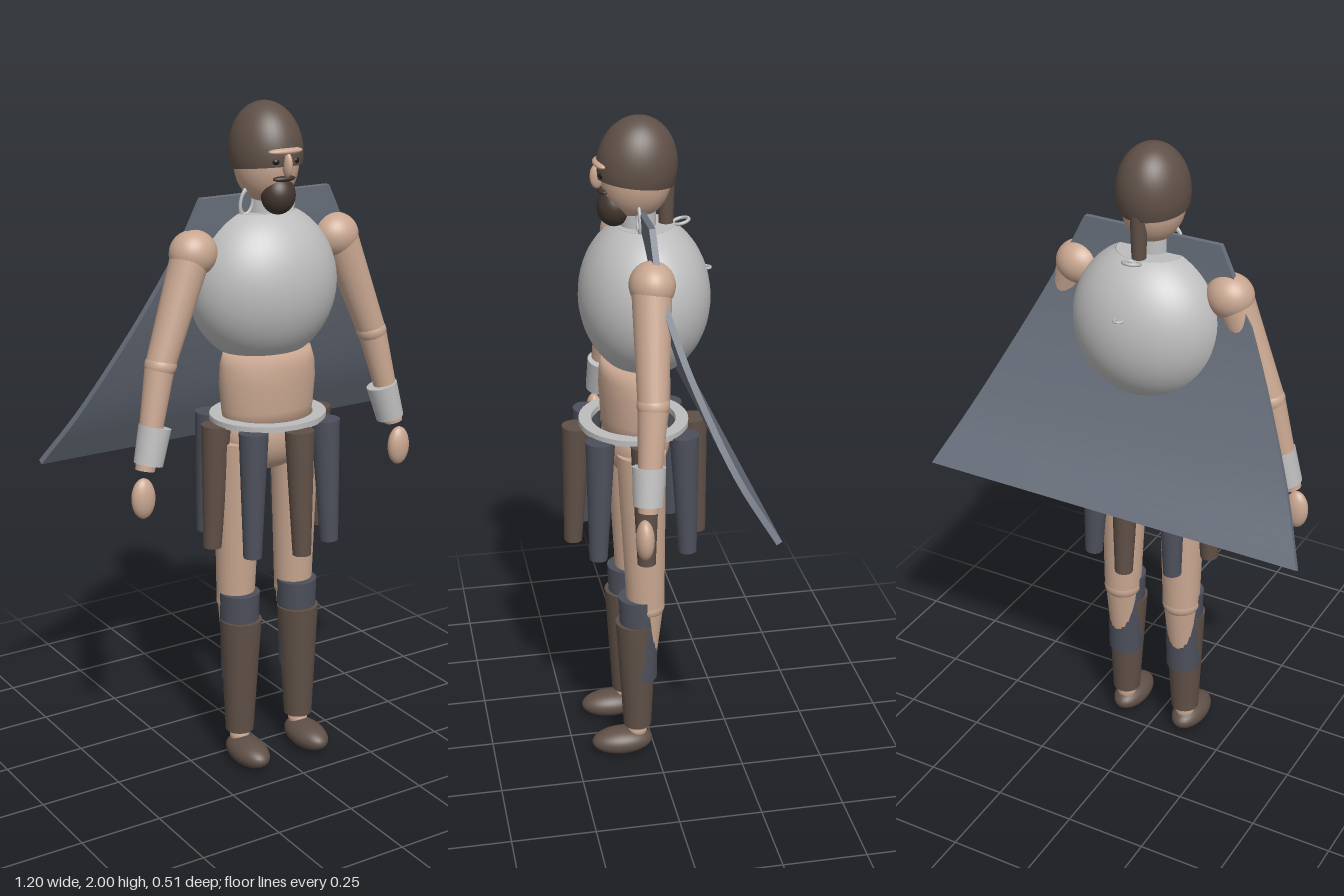
import * as THREE from 'three';

const paint = (name, color) => {
  const m = new THREE.MeshStandardMaterial({ color });
  m.name = name;
  return m;
};

export function createModel() {
  const skin = paint('skin', 0xc9a791);
  const steel = paint('steel', 0xbdbdbd);
  const leather = paint('brown leather', 0x5f5047);
  const slate = paint('slate cloth', 0x4d505b);
  const capeCloth = paint('cape cloth', 0x686f7b);
  const beardBrown = paint('dark beard', 0x43352e);
  const black = paint('eye black', 0x1c1a1a);
  leather.side = steel.side = THREE.DoubleSide;

  const model = new THREE.Group();
  model.name = 'warrior';
  const V = (x, y, z) => new THREE.Vector3(x, y, z);

  const add = (name, geometry, material, pos = [0, 0, 0], parent = model) => {
    const mesh = new THREE.Mesh(geometry, material);
    mesh.name = name;
    mesh.position.set(...pos);
    parent.add(mesh);
    return mesh;
  };
  const ball = (name, pos, radii, material, parent = model) => {
    const mesh = add(name, new THREE.SphereGeometry(1, 32, 20), material, pos, parent);
    mesh.scale.set(...radii);
    return mesh;
  };
  // Tapered cylinder from a to b
  const limb = (name, a, b, ra, rb, material, parent = model) => {
    const from = V(...a), to = V(...b);
    const dir = from.clone().sub(to);
    const mid = from.clone().add(to).multiplyScalar(0.5);
    const mesh = add(name, new THREE.CylinderGeometry(ra, rb, dir.length(), 24), material, mid.toArray(), parent);
    mesh.quaternion.setFromUnitVectors(V(0, 1, 0), dir.normalize());
    return mesh;
  };

  // Head, hair cap and ponytail
  ball('face', [0, 1.83, 0.035], [0.09, 0.12, 0.1], skin);
  const hair = add('hair', new THREE.SphereGeometry(1, 40, 24, 0, Math.PI * 2, 0, 1.88), leather, [0, 1.86, 0.033]);
  hair.scale.set(0.103, 0.14, 0.114);
  hair.rotation.x = -0.12;
  limb('ponytail', [0, 1.85, -0.05], [0, 1.68, -0.05], 0.026, 0.02, leather);
  ball('nose', [0, 1.835, 0.145], [0.012, 0.035, 0.02], skin);
  ball('brow', [0, 1.872, 0.135], [0.055, 0.011, 0.021], skin);
  ball('beard', [0, 1.745, 0.098], [0.05, 0.055, 0.048], beardBrown);
  ball('moustache', [0, 1.795, 0.128], [0.036, 0.009, 0.016], beardBrown);
  for (const s of [-1, 1]) ball('eye', [s * 0.032, 1.845, 0.133], [0.012, 0.01, 0.012], black);

  // Neck and collar
  limb('neck', [0, 1.8, 0.03], [0, 1.62, 0.03], 0.043, 0.047, skin);
  limb('collar', [0, 1.745, 0.03], [0, 1.66, 0.03], 0.05, 0.052, steel);
  for (const s of [-1, 1]) {
    const loop = add('collarLoop', new THREE.TorusGeometry(0.02, 0.005, 10, 28), steel, [s * 0.068, 1.722, 0.04]);
    loop.scale.y = 1.9;
    loop.rotation.z = s * 0.2;
  }

  // Cuirass: a flattened ball open at the neck and the waist
  const cut = 0.45;
  const cuirass = add('cuirass',
    new THREE.SphereGeometry(1, 48, 28, 0, Math.PI * 2, cut, Math.PI - 2 * cut), steel, [0, 1.48, 0.013]);
  cuirass.scale.set(0.228, 0.234, 0.188);
  for (const [name, y, r] of [['cuirassTop', 1.689, 0.098], ['cuirassBottom', 1.271, 0.098]]) {
    const cap = add(name, new THREE.CylinderGeometry(r, r, 0.004, 32), steel, [0, y, 0.013]);
    cap.scale.z = 0.83;
  }
  const backRing = add('backRing', new THREE.TorusGeometry(0.024, 0.005, 10, 28), steel, [0, 1.692, -0.092]);
  backRing.rotation.x = Math.PI / 2 + 0.25;
  const rivet = add('backRivet', new THREE.TorusGeometry(0.012, 0.004, 8, 20), steel, [0, 1.55, -0.168]);
  rivet.rotation.x = Math.PI / 2;

  // Waist and hips
  const waistProfile = [[0, 1.06], [0.137, 1.06], [0.146, 1.12], [0.153, 1.2], [0.15, 1.25], [0.138, 1.29], [0, 1.29]];
  const waist = add('waist',
    new THREE.LatheGeometry(waistProfile.map(p => new THREE.Vector2(...p)), 40), skin, [0, 0, 0.042]);
  waist.scale.z = 0.68;
  ball('hips', [0, 1.04, 0.04], [0.145, 0.115, 0.1], skin);

  // Belt ring with eight hanging tapered strips
  const beltShape = new THREE.Shape().absarc(0, 0, 0.175, 0, Math.PI * 2);
  beltShape.holes.push(new THREE.Path().absarc(0, 0, 0.135, 0, Math.PI * 2, true));
  const belt = add('belt',
    new THREE.ExtrudeGeometry(beltShape, { depth: 0.018, bevelEnabled: false, curveSegments: 32 }), steel, [0, 1.1, 0.045]);
  belt.rotation.x = Math.PI / 2;
  belt.scale.y = 0.92;
  for (let i = 0; i < 8; i++) {
    const a = i * Math.PI / 4, sx = Math.sin(a), cz = Math.cos(a);
    limb('skirtStrip', [sx * 0.174, 1.085, 0.041 + cz * 0.174], [sx * 0.19, 0.71, 0.041 + cz * 0.19],
      0.043, 0.027, i % 2 ? slate : leather);
  }

  // Arms and legs, mirrored
  for (const s of [-1, 1]) {
    const arm = new THREE.Group();
    arm.name = s > 0 ? 'leftArm' : 'rightArm';
    model.add(arm);
    ball('shoulder', [s * 0.24, 1.595, 0.035], [0.07, 0.066, 0.064], skin, arm);
    limb('upperArm', [s * 0.25, 1.59, 0.038], [s * 0.36, 1.3, 0.055], 0.056, 0.043, skin, arm);
    ball('elbow', [s * 0.361, 1.295, 0.055], [0.046, 0.04, 0.046], skin, arm);
    limb('forearm', [s * 0.362, 1.3, 0.055], [s * 0.432, 1.005, 0.082], 0.043, 0.028, skin, arm);
    limb('bracer', [s * 0.392, 1.125, 0.072], [s * 0.42, 1.02, 0.08], 0.047, 0.042, steel, arm);
    ball('hand', [s * 0.445, 0.927, 0.093], [0.036, 0.06, 0.026], skin, arm);

    const leg = new THREE.Group();
    leg.name = s > 0 ? 'leftLeg' : 'rightLeg';
    model.add(leg);
    limb('thigh', [s * 0.098, 1.03, 0.04], [s * 0.103, 0.52, 0.028], 0.073, 0.057, skin, leg);
    ball('knee', [s * 0.103, 0.52, 0.028], [0.058, 0.045, 0.058], skin, leg);
    limb('calf', [s * 0.103, 0.53, 0.028], [s * 0.107, 0.07, 0.055], 0.055, 0.028, skin, leg);
    limb('kneeGuard', [s * 0.102, 0.552, 0.05], [s * 0.104, 0.27, 0.047], 0.061, 0.053, slate, leg);
    limb('greave', [s * 0.102, 0.466, 0.057], [s * 0.107, 0.1, 0.055], 0.063, 0.043, leather, leg);
    ball('ankle', [s * 0.107, 0.08, 0.055], [0.03, 0.028, 0.03], skin, leg);
    ball('foot', [s * 0.107, 0.043, 0.103], [0.053, 0.041, 0.095], leather, leg);
  }

  // Cape: a thin slab widened downward and swept back along a curve
  const sweep = new THREE.CatmullRomCurve3([
    V(0, 0.965, -0.247), V(0, 1.12, -0.152), V(0, 1.3, -0.072), V(0, 1.45, -0.018),
    V(0, 1.6, 0.02), V(0, 1.745, 0.03)]);
  const capeGeo = new THREE.BoxGeometry(1, 1, 0.018, 4, 24, 1);
  const p = capeGeo.attributes.position;
  for (let i = 0; i < p.count; i++) {
    const t = p.getY(i) + 0.5;
    const c = sweep.getPoint(t), d = sweep.getTangent(t), off = p.getZ(i);
    const halfWidth = 0.6 - (c.y - 0.965) * 0.495;
    p.setXYZ(i, p.getX(i) * 2 * halfWidth, c.y - d.z * off, c.z + d.y * off);
  }
  capeGeo.computeVertexNormals();
  add('cape', capeGeo, capeCloth);

  return model;
}
